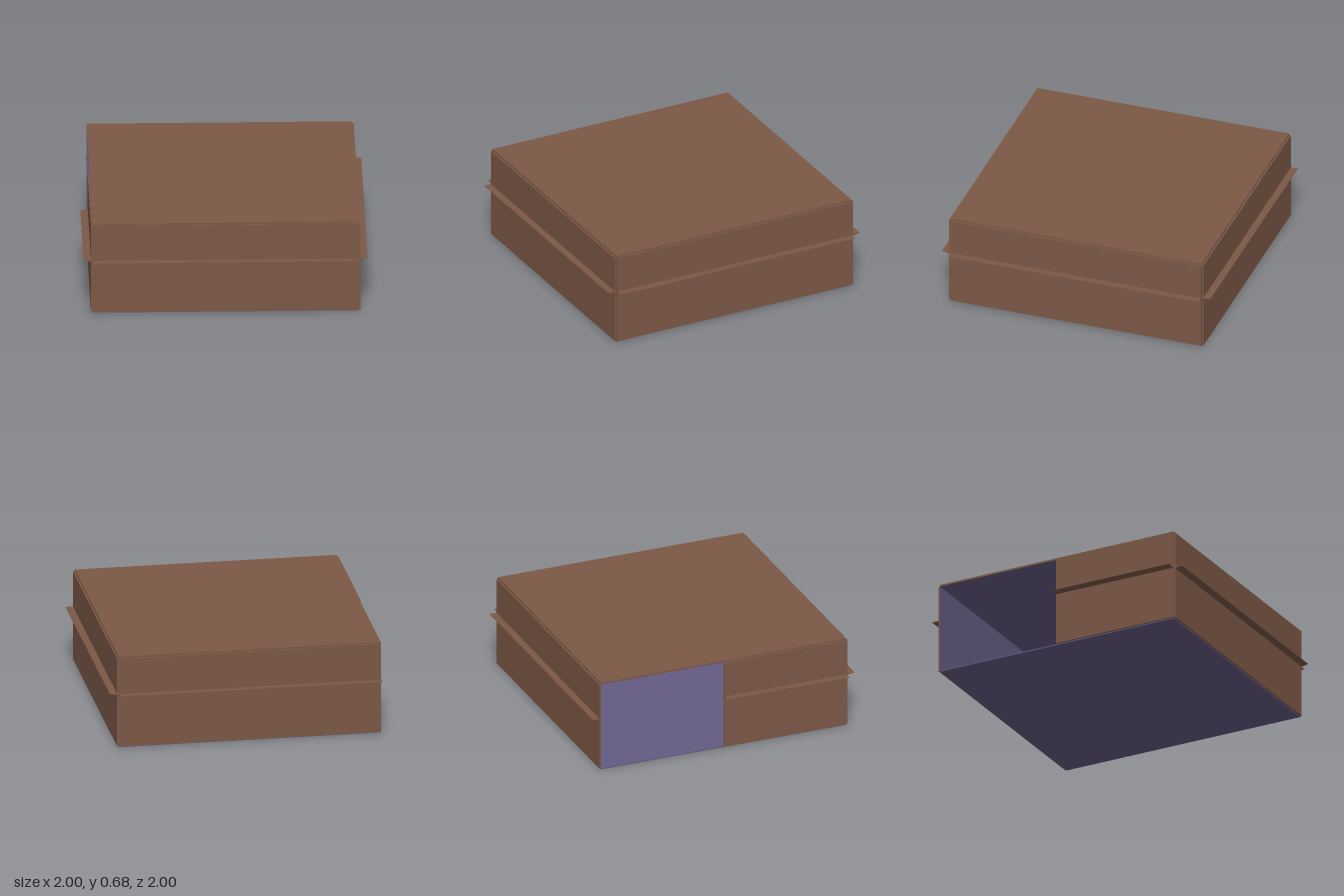
import * as THREE from 'three';

const HALF = 0.935;      // inner half-width of the room
const THICK = 0.013;     // panel thickness
const BASE = 0.008;      // floor thickness
const TOP = 0.662;       // top of the walls

const brown = new THREE.MeshStandardMaterial({ color: 0x7b5846 });
const purple = new THREE.MeshStandardMaterial({ color: 0x645a82 });

// Box whose face number `inner` carries the purple interior colour
function panel(name, w, h, d, inner) {
  const mats = Array.from({ length: 6 }, (_, i) => (i === inner ? purple : brown));
  const mesh = new THREE.Mesh(new THREE.BoxGeometry(w, h, d), mats);
  mesh.name = name;
  return mesh;
}

// Flat-topped wedge that tapers to a thin outer edge, running along x
function ledge(width) {
  const profile = new THREE.Shape([
    new THREE.Vector2(HALF + THICK, 0.388),
    new THREE.Vector2(1, 0.398),
    new THREE.Vector2(1, 0.4),
    new THREE.Vector2(HALF + THICK, 0.4),
  ]);
  const geo = new THREE.ExtrudeGeometry(profile, { depth: width, bevelEnabled: false });
  geo.translate(0, 0, -width / 2).rotateY(-Math.PI / 2);
  const mesh = new THREE.Mesh(geo, brown);
  mesh.name = 'ledge';
  return mesh;
}

// Wall with its ledge, spanning x0..x1, turned to face its side
function wall(name, angle, x0 = -HALF, x1 = HALF) {
  const side = new THREE.Group();
  side.name = name;
  const width = x1 - x0;
  const face = panel('wallPanel', width, TOP - BASE, THICK, 5);
  face.position.set((x0 + x1) / 2, (TOP + BASE) / 2, HALF + THICK / 2);
  const trim = ledge(width);
  trim.position.x = (x0 + x1) / 2;
  side.add(face, trim);
  side.rotation.y = angle;
  return side;
}

export function createModel() {
  const model = new THREE.Group();
  model.name = 'room';

  const floor = new THREE.Mesh(new THREE.BoxGeometry(HALF * 2, BASE, HALF * 2), purple);
  floor.name = 'floor';
  floor.position.y = BASE / 2;

  const roof = panel('roof', HALF * 2, THICK, HALF * 2, 3);
  roof.position.y = TOP + THICK / 2;

  model.add(
    floor,
    roof,
    wall('frontWall', 0),
    wall('leftWall', Math.PI / 2),
    wall('backWall', Math.PI),
    // Half wall, leaving the rear half of this side open
    wall('doorwayWall', -Math.PI / 2, 0, HALF),
  );
  return model;
}
